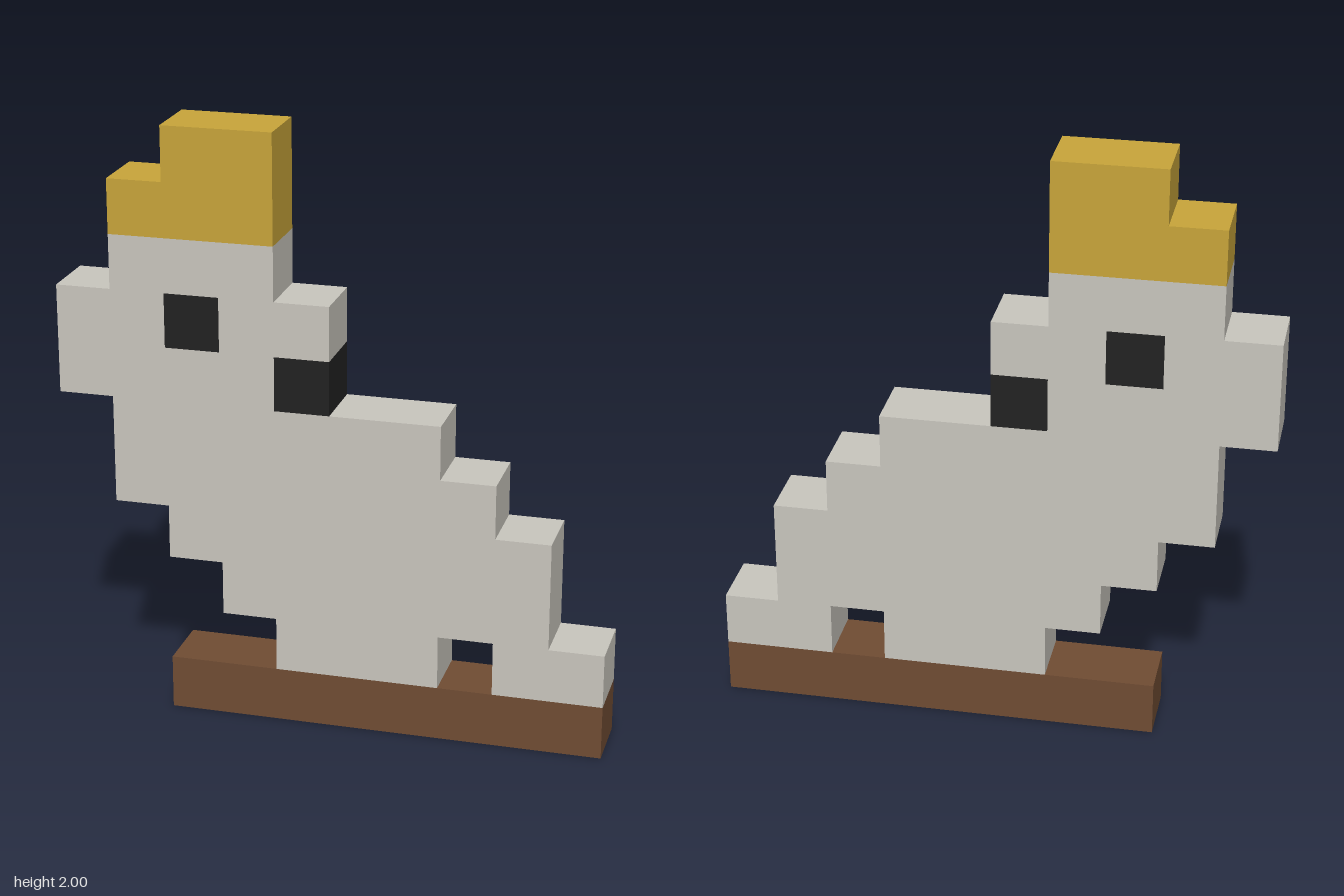
import * as THREE from 'three';

const U = 2 / 11;        // one grid step
const DEPTH = 0.6 * 2 * U; // slab thickness

// grid column / row to model coordinates
const pt = ([c, r]) => new THREE.Vector2((c - 5) * U, r * U);

function material(name, color) {
  const m = new THREE.MeshStandardMaterial({ color });
  m.name = name;
  return m;
}

// Extrudes a stepped grid outline, centred on z = 0
function slab(name, outline, mat, holes = []) {
  const shape = new THREE.Shape(outline.map(pt));
  for (const h of holes) shape.holes.push(new THREE.Path(h.map(pt)));
  const geo = new THREE.ExtrudeGeometry(shape, { depth: DEPTH, bevelEnabled: false });
  geo.translate(0, 0, -DEPTH / 2);
  const mesh = new THREE.Mesh(geo, mat);
  mesh.name = name;
  return mesh;
}

const rect = (c0, r0, c1, r1) => [[c0, r0], [c1, r0], [c1, r1], [c0, r1]];

export function createModel() {
  const plumage = material('pale grey plumage', 0xc9c6be);
  const gold = material('gold crest', 0xc8a53a);
  const wood = material('brown wood', 0x704c33);
  const black = material('black', 0x222222);

  const bird = new THREE.Group();
  bird.name = 'bird';

  // Body: chest side up the right, head, then down the left
  const body = [
    [4, 1], [7, 1], [7, 2], [8, 2], [8, 1], [10, 1], [10, 2], [9, 2],
    [9, 4], [8, 4], [8, 5], [7, 5], [7, 6], [4, 6], [4, 7], [5, 7],
    [5, 8], [4, 8], [4, 9], [1, 9], [1, 8], [0, 8], [0, 6], [1, 6],
    [1, 4], [2, 4], [2, 3], [3, 3], [3, 2], [4, 2],
  ];
  const eye = rect(2, 7, 3, 8);
  bird.add(slab('body', body, plumage, [eye]));

  // Eye runs right through, so it shows on both sides
  bird.add(slab('eye', eye, black));
  bird.add(slab('darkPatch', rect(4, 6, 5, 7), black));

  // Stepped crest on the head
  bird.add(slab('crest', [[1, 9], [4, 9], [4, 11], [2, 11], [2, 10], [1, 10]], gold));

  // Perch under the feet
  bird.add(slab('perch', rect(2, 0, 10, 1), wood));

  return bird;
}
